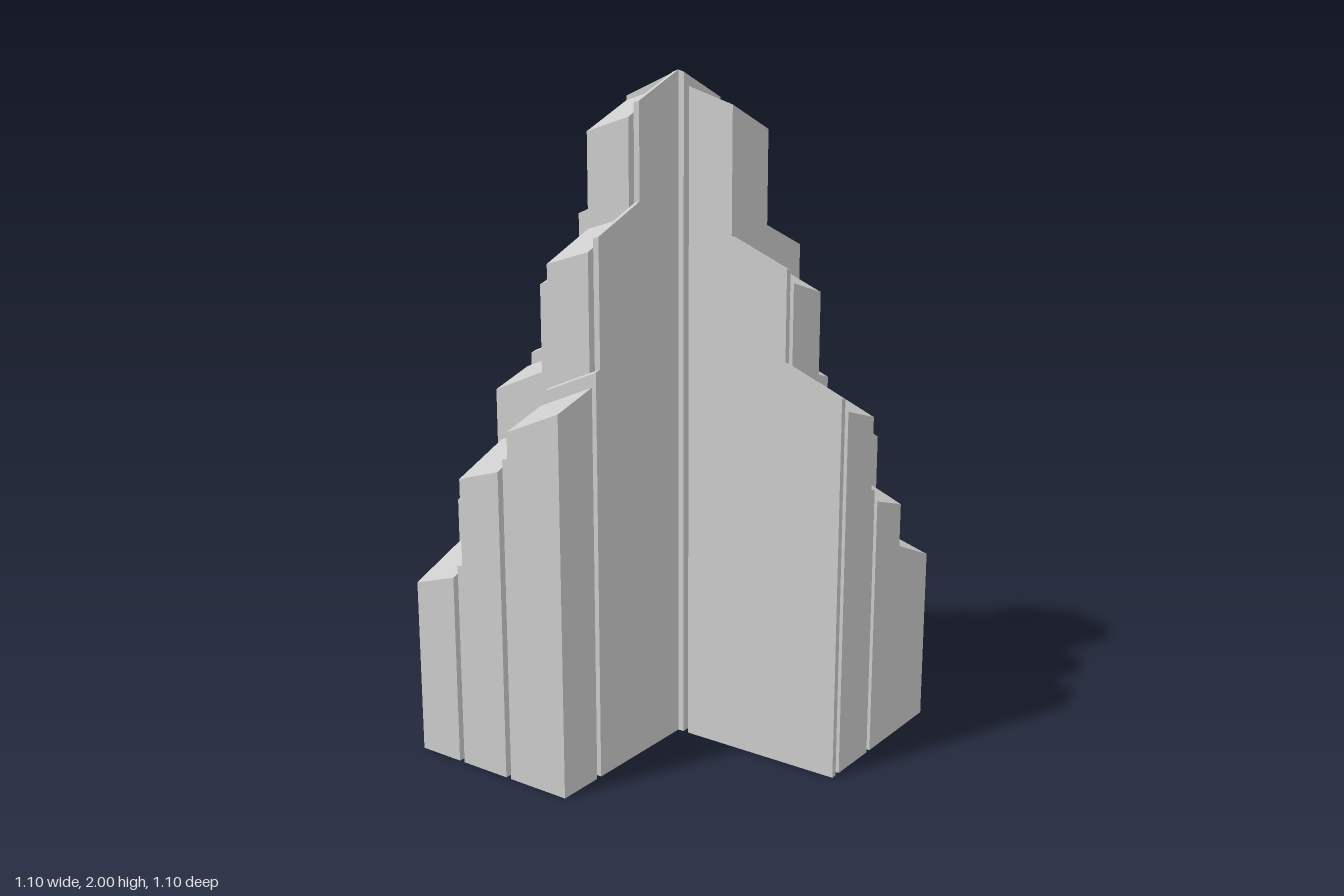
import * as THREE from 'three';

const C = 0.55 / 3;                 // column width
const S = 0.0185, G = 0.037;        // inner slab edge, groove edge
const N = 0.025;                    // groove depth
// One quadrant, rows and columns run from the outside to the centre (0 = open shaft)
const HEIGHT = [[0.697, 0.905, 1.21], [1.045, 0, 1.55], [1.21, 1.65, 2.0]];
const AXIS = [['z', 'x', 'x'], ['z', '', 'x'], ['x', 'z', 'z']];

// Column with a sloped top, split by a groove into slab, neck and block.
// u runs along the split, v across it, both from the centre outwards.
function column(i, j, joinX, joinZ) {
  const h = HEIGHT[i][j], alongX = AXIS[i][j] === 'x';
  const pos = [];
  const world = ([u, v, y]) => {
    const [a, b] = alongX ? [u, v] : [v, u];
    return [-(2 - j) * C - a, y, -(2 - i) * C - b];
  };
  const quad = (a, b, c, d) => {
    const q = (alongX ? [d, c, b, a] : [a, b, c, d]).map(world);
    for (const k of [0, 1, 2, 0, 2, 3]) pos.push(...q[k]);
  };

  // Sloped tops of the three parts
  const top = (drop) => (u, v) => h - drop - 0.31 * u - 0.42 * v;
  const slab = top(0), neck = top(0.07), block = top(0.033);
  const cap = (f, u0, u1, v0, v1) =>
    quad(...[[u0, v0], [u1, v0], [u1, v1], [u0, v1]].map(([u, v]) => [u, v, f(u, v)]));
  const wall = (f, u0, v0, u1, v1, base = 0) =>
    quad([u0, v0, base], [u1, v1, base], [u1, v1, f(u1, v1)], [u0, v0, f(u0, v0)]);

  // Walls shared with a neighbour start just under the lower of the two tops
  const base = (di, dj) => {
    let n = 0;
    const r = i + di, c = j + dj;
    if (c > 2) n = joinX ? HEIGHT[2][i] : 0;
    else if (r > 2) n = joinZ ? HEIGHT[j][2] : 0;
    else if (r >= 0 && c >= 0) n = HEIGHT[r][c];
    return n ? Math.min(h, n) - 0.25 : 0;
  };
  const uIn = alongX ? base(0, 1) : base(1, 0);
  const uOut = alongX ? base(0, -1) : base(-1, 0);
  const vIn = alongX ? base(1, 0) : base(0, 1);
  const vOut = alongX ? base(-1, 0) : base(0, -1);

  cap(slab, 0, S, 0, C);
  cap(neck, S, G, N, C - N);
  cap(block, G, C, 0, C);
  wall(slab, 0, C, 0, 0, uIn);
  wall(block, C, 0, C, C, uOut);
  for (const [f, a, b] of [[slab, 0, S], [block, G, C]]) {
    wall(f, a, 0, b, 0, vIn);
    wall(f, b, C, a, C, vOut);
  }
  wall(neck, S, N, G, N);
  wall(neck, G, C - N, S, C - N);

  // Groove sides: full height beside the neck, short above it
  for (const [a, b, low] of [[0, N, 0], [N, C - N, h - 0.2], [C - N, C, 0]]) {
    wall(slab, S, a, S, b, low);
    wall(block, G, b, G, a, low);
  }

  const geo = new THREE.BufferGeometry();
  geo.setAttribute('position', new THREE.Float32BufferAttribute(pos, 3));
  geo.computeVertexNormals();
  return geo;
}

export function createModel() {
  const model = new THREE.Group();
  model.name = 'steppedTower';
  const material = new THREE.MeshStandardMaterial({
    color: 0xcccccc, flatShading: true, side: THREE.DoubleSide,
  });

  // Three turned copies of the quadrant leave the front left corner open
  const quadrants = [
    ['backRightQuadrant', 0, true, true],
    ['backLeftQuadrant', -Math.PI / 2, false, true],
    ['frontRightQuadrant', Math.PI / 2, true, false],
  ];
  for (const [name, turn, joinX, joinZ] of quadrants) {
    const quadrant = new THREE.Group();
    quadrant.name = name;
    quadrant.rotation.y = turn;
    for (let i = 0; i < 3; i++) {
      for (let j = 0; j < 3; j++) {
        if (!HEIGHT[i][j]) continue;
        const mesh = new THREE.Mesh(column(i, j, joinX, joinZ), material);
        mesh.name = `column${i + 1}${j + 1}`;
        quadrant.add(mesh);
      }
    }
    model.add(quadrant);
  }
  return model;
}
